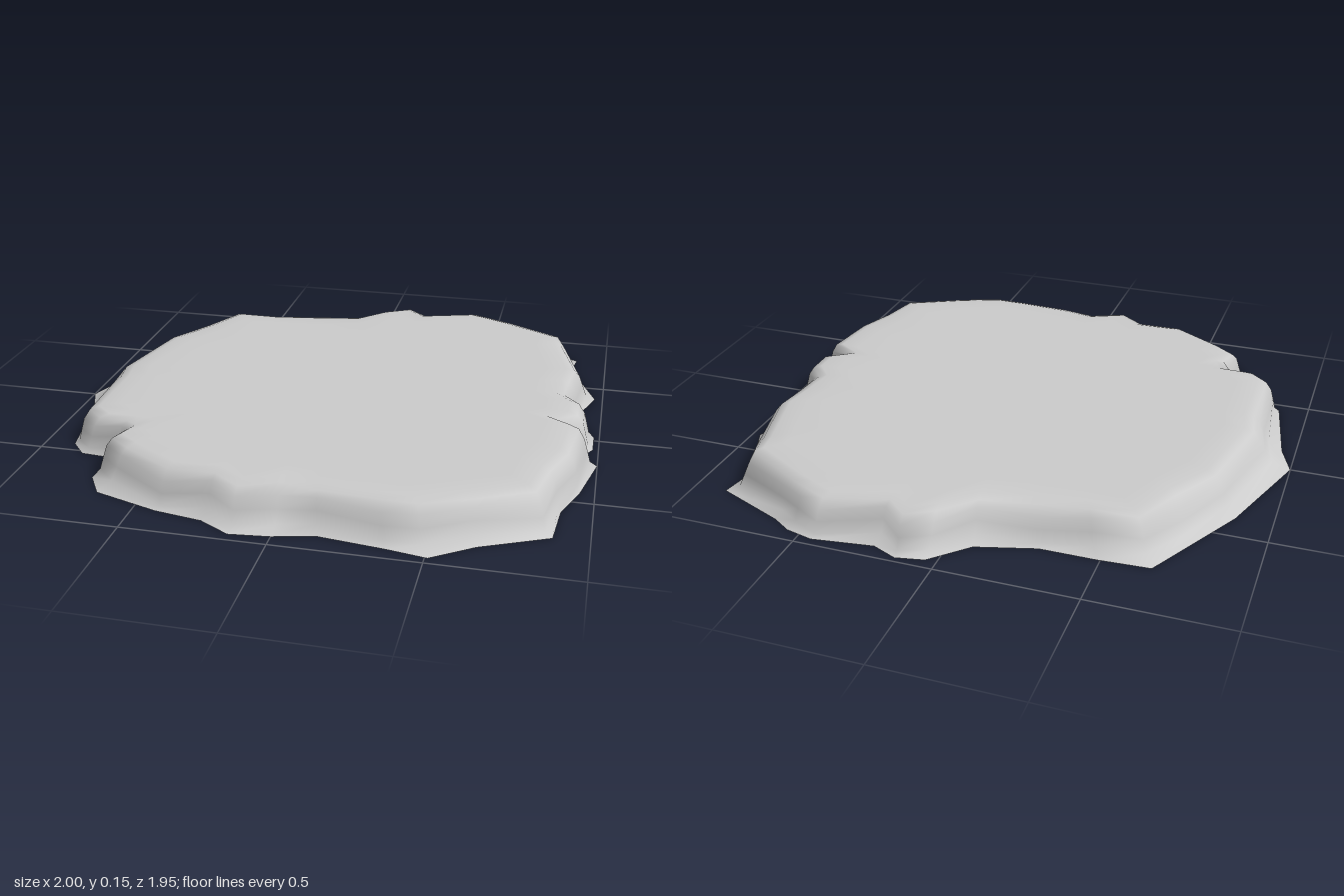
import * as THREE from 'three';

// Ground outline, clockwise from above: x, z, inset of the shoulder
const OUTLINE = [
  [-1, 0, .11], [-.87, -.39, .06], [-.77, -.58, .07], [-.67, -.77, .07], [-.49, -.78, .07], [-.29, -.78, .03],
  [-.08, -.84, .05], [.04, -.96, .06], [.14, -.98, .03], [.23, -.94, .06], [.45, -.97, .03],
  [.55, -.945, .05], [.62, -.9, .04], [.88, -.79, .08], [.86, -.67, .03], [.97, -.39, .06],
  [.92, -.24, .02], [.94, -.11, .05], [.98, -.03, .03], [.98, .08, .03], [.94, .15, .07],
  [1, .21, .04], [.95, .43, .02], [.895, .58, .02], [.88, .76, .05], [.65, .87, .04],
  [.51, .97, .08], [.37, .945, .05], [.14, .915, .03], [0, .95, .09], [-.14, .965, .05],
  [-.25, .9, .06], [-.42, .87, .03], [-.66, .79, .09], [-.72, .69, .05], [-.7, .61, .05],
  [-.72, .53, .04], [-.83, .52, .04], [-.89, .45, .03], [-.95, .13, .08],
];

// Cross-section of the rim: height, share of the shoulder inset, extra inset
const SECTION = [
  [0, 0, 0], [.022, .65, 0], [.065, .85, .005], [.105, 1, .012],
  [.132, 1, .035], [.143, 1, .07], [.145, .8, .16], [.146, 0, .4],
];

function ringPoint([x, z, inset], [y, share, extra], i) {
  const r = Math.hypot(x, z);
  const k = 1 - (inset * share + extra) / r;
  // uneven heights on the flank only
  const wobble = y > .01 && y < .12 ? .012 * Math.sin(i * 2.3) : 0;
  return [x * k, y + wobble, z * k];
}

function surface(name, positions, index) {
  const geometry = new THREE.BufferGeometry();
  geometry.setAttribute('position', new THREE.Float32BufferAttribute(positions, 3));
  geometry.setIndex(index);
  geometry.computeVertexNormals();
  const mesh = new THREE.Mesh(geometry, new THREE.MeshStandardMaterial({ color: 0xcccccc }));
  mesh.name = name;
  return mesh;
}

export function createModel() {
  const group = new THREE.Group();
  group.name = 'rockSlab';
  const n = OUTLINE.length;

  // Weathered flank rolling over into the flat top
  const positions = [], index = [];
  SECTION.forEach((s) => OUTLINE.forEach((p, i) => positions.push(...ringPoint(p, s, i))));
  for (let r = 0; r < SECTION.length - 1; r++) {
    for (let i = 0; i < n; i++) {
      const j = (i + 1) % n;
      const a = r * n + i, b = r * n + j, c = b + n, d = a + n;
      index.push(b, a, d, b, d, c);
    }
  }
  const last = (SECTION.length - 1) * n, centre = SECTION.length * n;
  positions.push(0, .146, 0);
  for (let i = 0; i < n; i++) index.push(centre, last + (i + 1) % n, last + i);
  group.add(surface('rockTopAndRim', positions, index));

  // Flat underside
  const base = [], baseIndex = [];
  OUTLINE.forEach(([x, z]) => base.push(x, 0, z));
  base.push(0, 0, 0);
  for (let i = 0; i < n; i++) baseIndex.push(n, i, (i + 1) % n);
  group.add(surface('underside', base, baseIndex));

  return group;
}
